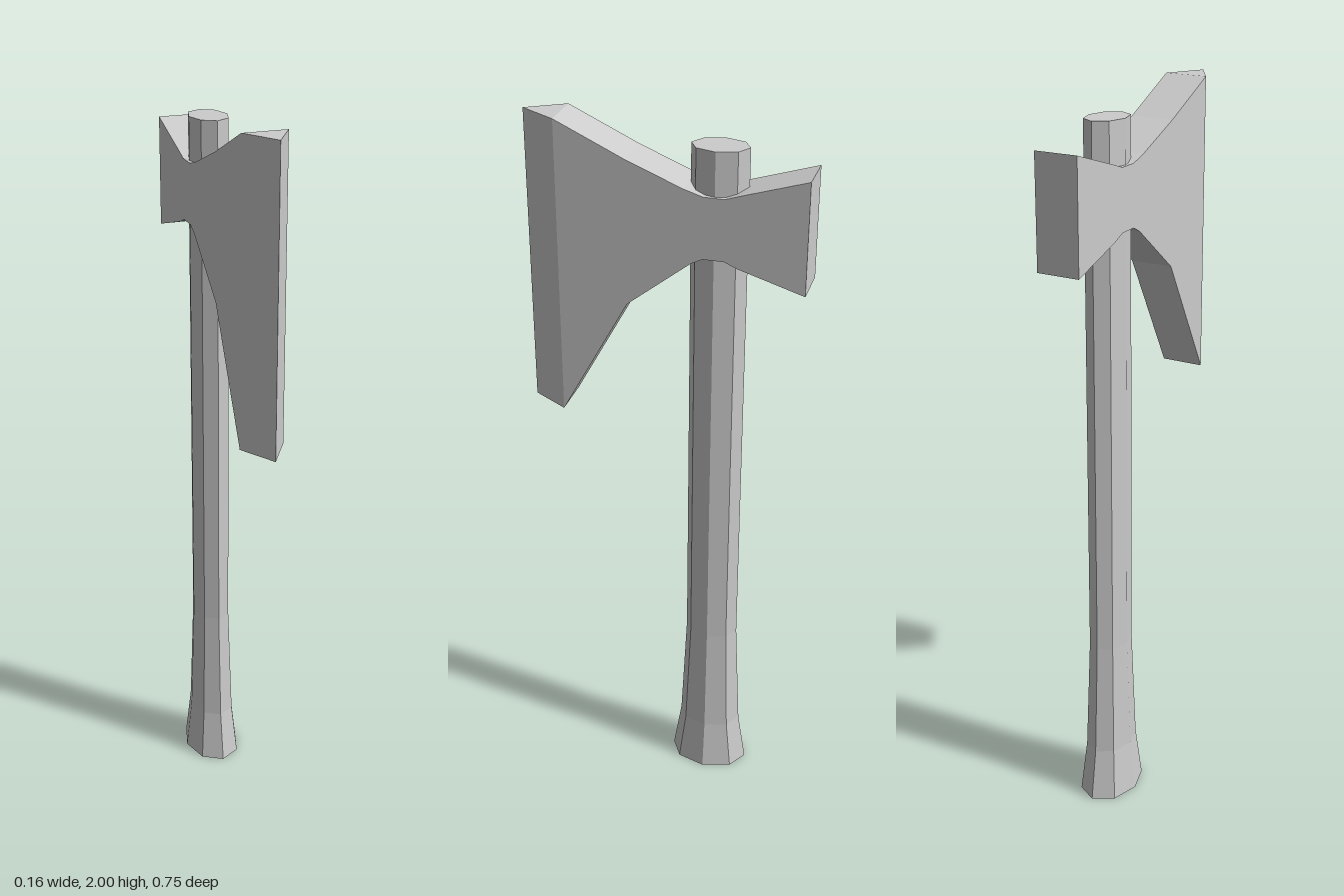
import * as THREE from 'three';

const HALF = 0.06;        // half thickness of the head
const BEVEL_Z = 0.275;    // where the cutting wedge starts
const EDGE_Z = 0.375;     // cutting edge
const BLADE_LOW = 1.187;
const BLADE_HIGH = 2;

function toShape(points) {
  return new THREE.Shape(points.map(([x, y]) => new THREE.Vector2(x, y)));
}

export function createModel() {
  const group = new THREE.Group();
  const material = new THREE.MeshStandardMaterial({ color: 0xcccccc, flatShading: true });

  const add = (name, geometry) => {
    const mesh = new THREE.Mesh(geometry, material);
    mesh.name = name;
    group.add(mesh);
    return mesh;
  };

  // Handle: eight-sided oval shaft, flared at the foot
  const profile = [[0, 0], [0.113, 0], [0.09, 0.15], [0.075, 0.48], [0.075, 1.955], [0, 1.955]];
  const handle = new THREE.LatheGeometry(profile.map(([r, y]) => new THREE.Vector2(r, y)), 8);
  handle.scale(0.705, 1, 1);
  handle.translate(0, 0, -0.137);
  add('handle', handle);

  // Head: side outline as (z, y), extruded across the thickness
  const outline = [
    [BEVEL_Z, BLADE_HIGH], [0.09, 1.915], [-0.06, 1.855], [-0.11, 1.84], [-0.165, 1.84],
    [-0.21, 1.855], [-0.375, 1.907], [-0.375, 1.607], [-0.2, 1.66], [-0.165, 1.675],
    [-0.11, 1.675], [-0.08, 1.66], [0.09, 1.525], [BEVEL_Z, BLADE_LOW],
  ];
  const head = new THREE.ExtrudeGeometry(toShape(outline), { depth: HALF * 2, bevelEnabled: false });
  head.translate(0, 0, -HALF);
  head.rotateY(-Math.PI / 2);
  add('axeHead', head);

  // Cutting edge: triangular wedge along the front of the blade
  const wedge = [[-HALF, -BEVEL_Z], [0, -EDGE_Z], [HALF, -BEVEL_Z]];
  const edge = new THREE.ExtrudeGeometry(toShape(wedge), { depth: BLADE_HIGH - BLADE_LOW, bevelEnabled: false });
  edge.rotateX(-Math.PI / 2);
  edge.translate(0, BLADE_LOW, 0);
  add('cuttingEdge', edge);

  return group;
}
